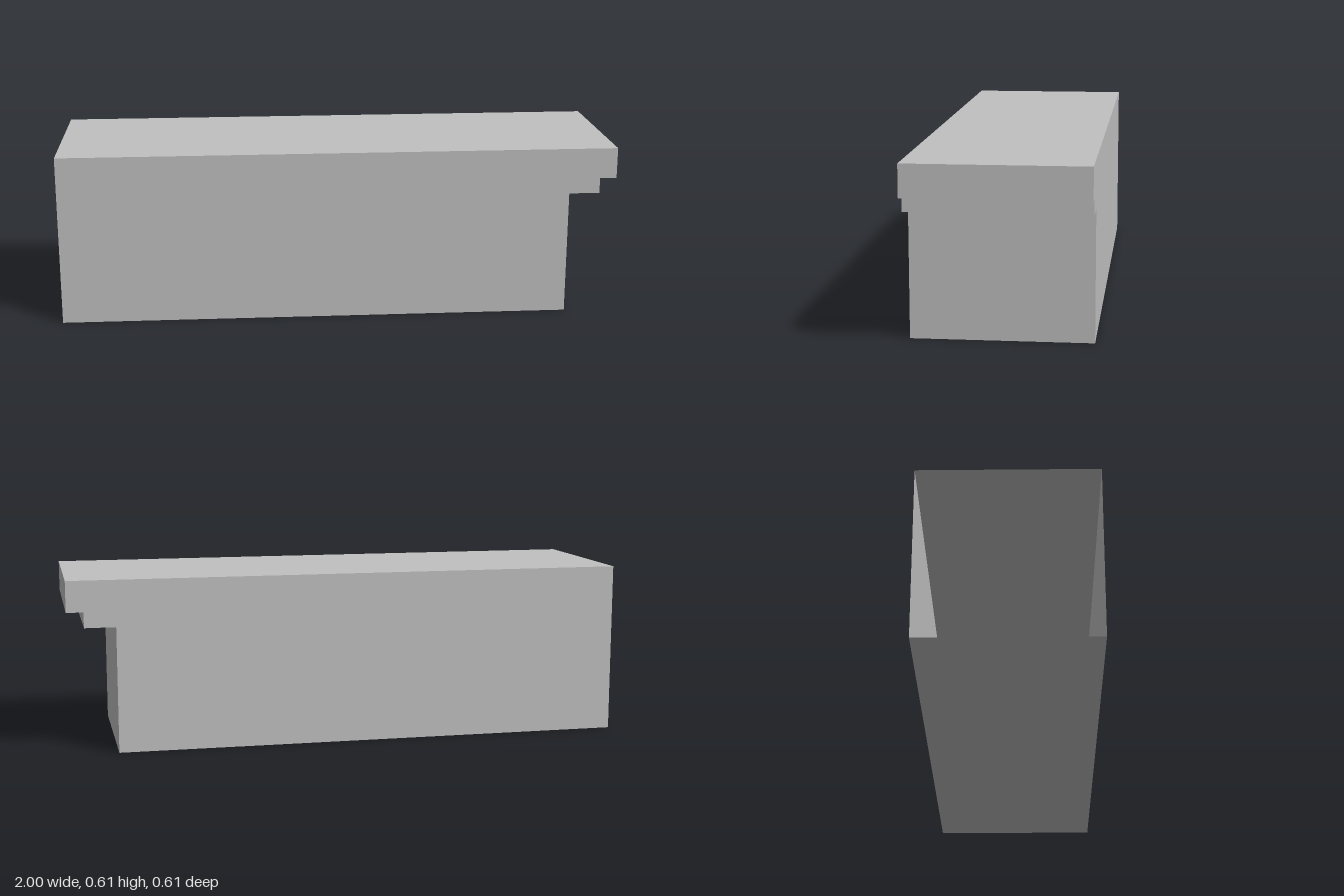
import * as THREE from 'three';

export function createModel() {
  const model = new THREE.Group();
  model.name = 'steppedOpenChannel';
  const grey = new THREE.MeshStandardMaterial({ color: 0xc0c0c0, side: THREE.DoubleSide });
  grey.name = 'plain grey';
  const depth = 0.61;

  // Side outline, counterclockwise; the closing edge at x = -1 stays open
  const profile = [
    [-1, 0], [0.83, 0], [0.83, 0.446], [0.94, 0.446],
    [0.94, 0.501], [1, 0.501], [1, 0.611], [-1, 0.611],
  ].map(([x, y]) => new THREE.Vector2(x, y));

  const add = (name, geometry) => {
    const mesh = new THREE.Mesh(geometry, grey);
    mesh.name = name;
    model.add(mesh);
    return mesh;
  };

  // Front and back walls
  const wall = new THREE.ShapeGeometry(new THREE.Shape(profile));
  add('frontWall', wall).position.z = depth / 2;
  const back = wall.clone().scale(-1, 1, 1).rotateY(Math.PI);
  // The mirrored outline needs its corners reversed to face outward
  const order = Array.from(back.index.array).reverse();
  back.setIndex(order);
  back.translate(0, 0, -depth / 2);
  back.computeVertexNormals();
  add('backWall', back);

  // Flat panels that span the depth along each edge of the outline
  const names = ['floor', 'endWall', 'lowerSoffit', 'lowerStep', 'upperSoffit', 'lipFace', 'top'];
  names.forEach((name, i) => {
    const a = profile[i], b = profile[i + 1];
    const panel = new THREE.PlaneGeometry(a.distanceTo(b), depth)
      .rotateX(Math.PI / 2)
      .rotateZ(Math.atan2(b.y - a.y, b.x - a.x))
      .translate((a.x + b.x) / 2, (a.y + b.y) / 2, 0);
    add(name, panel);
  });

  return model;
}
